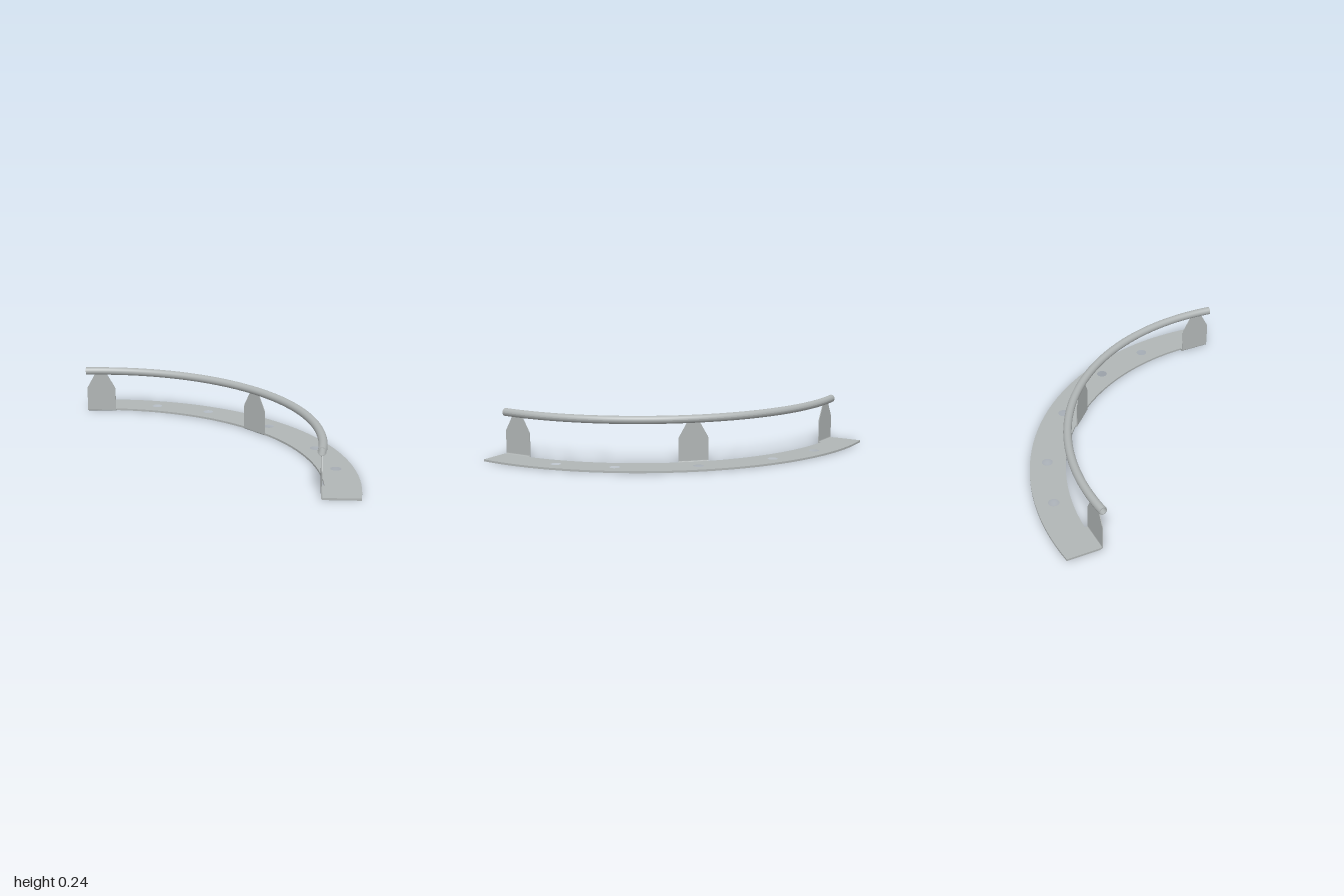
import * as THREE from 'three';

const CENTRE_Z = 1.006;   // shared centre of the rail and the inner plate edge
const HALF_ANGLE = 0.89;  // half of the rail's sweep

// Points along an arc bulging towards -z, as shape coordinates (x, -z)
function arcPoints(radius, centreZ, from, to, n) {
  return Array.from({ length: n + 1 }, (_, i) => {
    const a = from + (to - from) * i / n;
    return new THREE.Vector2(radius * Math.sin(a), radius * Math.cos(a) - centreZ);
  });
}

function add(parent, name, geometry, material) {
  const mesh = new THREE.Mesh(geometry, material);
  mesh.name = name;
  parent.add(mesh);
  return mesh;
}

// Curved flat base with five bolt holes
function plateGeometry() {
  const shape = new THREE.Shape([
    ...arcPoints(1.2817, 0.972, -0.895, 0.895, 40),
    ...arcPoints(1.14, CENTRE_Z, 0.888, -0.888, 40),
  ]);
  for (const [x, z] of [[0, -0.226], [0.4, -0.157], [-0.4, -0.157], [0.667, -0.02], [-0.667, -0.02]]) {
    shape.holes.push(new THREE.Path().absarc(x, -z, 0.026, 0, Math.PI * 2, true));
  }
  return new THREE.ExtrudeGeometry(shape, { depth: 0.01, bevelEnabled: false, curveSegments: 20 })
    .rotateX(-Math.PI / 2);
}

// Upright tab with tapered shoulders, its inner face at z = 0
function uprightGeometry() {
  const shape = new THREE.Shape();
  shape.moveTo(-0.076, 0.024);
  shape.lineTo(0.076, 0.024);
  shape.lineTo(0.076, 0.122);
  shape.quadraticCurveTo(0.076, 0.129, 0.072, 0.136);
  shape.lineTo(0.032, 0.207);
  shape.lineTo(-0.032, 0.207);
  shape.lineTo(-0.072, 0.136);
  shape.quadraticCurveTo(-0.076, 0.129, -0.076, 0.122);
  return new THREE.ExtrudeGeometry(shape, { depth: 0.004, bevelEnabled: false })
    .translate(0, 0, -0.004);
}

// Bent foot joining the upright to the plate
function footGeometry() {
  const shape = new THREE.Shape();
  shape.moveTo(0.03, 0.0005);
  shape.lineTo(0.03, 0.0095);
  shape.lineTo(0.01, 0.0095);
  shape.quadraticCurveTo(0.004, 0.0095, 0.004, 0.016);
  shape.lineTo(0.004, 0.024);
  shape.lineTo(0, 0.024);
  shape.lineTo(0, 0.009);
  shape.quadraticCurveTo(0, 0.0005, 0.008, 0.0005);
  return new THREE.ExtrudeGeometry(shape, { depth: 0.152, bevelEnabled: false, curveSegments: 6 })
    .translate(0, 0, -0.076).rotateY(Math.PI / 2);
}

// Curved pipe wall: a circle swept around the arc centre
function pipeGeometry(radius, direction) {
  const points = [];
  for (let i = 0; i <= 24; i++) {
    const a = direction * i / 24 * Math.PI * 2;
    points.push(new THREE.Vector2(1.128 + radius * Math.cos(a), radius * Math.sin(a)));
  }
  return new THREE.LatheGeometry(points, 64, Math.PI - HALF_ANGLE, HALF_ANGLE * 2);
}

export function createModel() {
  const model = new THREE.Group();
  model.name = 'curvedRail';
  const steel = new THREE.MeshStandardMaterial({ color: 0xb0b5b5 });
  steel.name = 'greySteel';

  add(model, 'basePlate', plateGeometry(), steel);

  // Three brackets: middle and both ends
  const upright = uprightGeometry();
  const foot = footGeometry();
  for (const side of [-1, 0, 1]) {
    const bracket = new THREE.Group();
    bracket.name = ['rightBracket', 'middleBracket', 'leftBracket'][side + 1];
    bracket.position.set(side * 0.82, 0, side ? 0.24 : -0.122);
    bracket.rotation.y = -side * Math.PI / 4;
    add(bracket, 'upright', upright, steel);
    add(bracket, 'bentFoot', foot, steel);
    model.add(bracket);
  }

  // Hollow handrail with open ends
  const rail = new THREE.Group();
  rail.name = 'handrail';
  rail.position.set(0, 0.223, CENTRE_Z);
  add(rail, 'railOuterWall', pipeGeometry(0.02, 1), steel);
  add(rail, 'railInnerWall', pipeGeometry(0.0165, -1), steel);
  for (const side of [-1, 1]) {
    const phi = Math.PI + side * HALF_ANGLE;
    const rim = new THREE.RingGeometry(0.0165, 0.02, 24);
    if (side > 0) rim.rotateY(Math.PI);
    rim.translate(1.128, 0, 0).rotateY(phi - Math.PI / 2);
    add(rail, 'railEndRim', rim, steel);
  }
  model.add(rail);
  return model;
}
